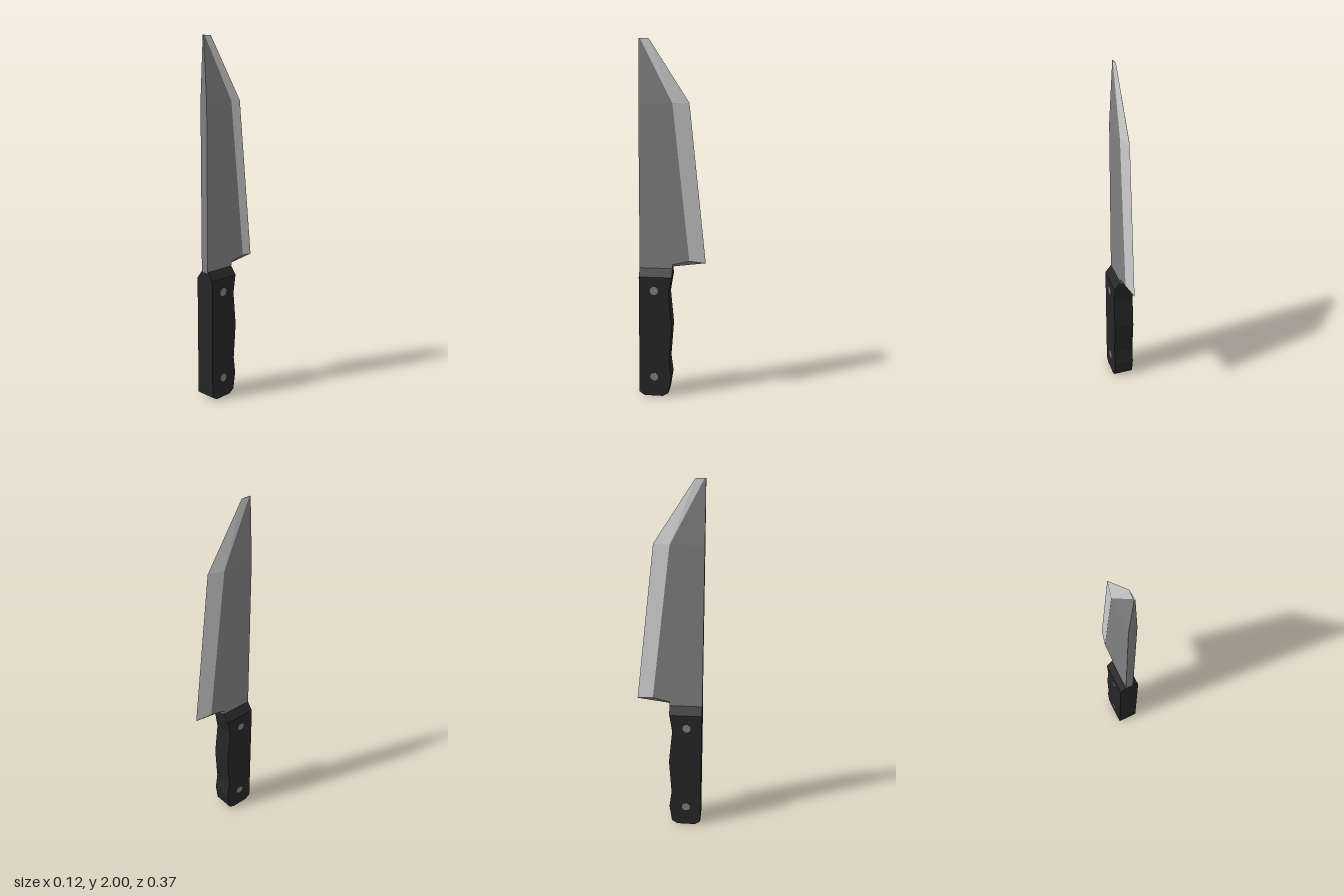
import * as THREE from 'three';

const material = (name, color) => {
  const m = new THREE.MeshStandardMaterial({ color });
  m.name = name;
  return m;
};

// Builds flat faces from the +x half and mirrors them across x = 0
function mirroredFaces(polygons) {
  const positions = [];
  for (const side of [1, -1]) {
    for (const polygon of polygons) {
      for (let i = 1; i < polygon.length - 1; i++) {
        const tri = [polygon[0], polygon[i], polygon[i + 1]];
        if (side < 0) tri.reverse();
        for (const [x, y, z] of tri) positions.push(side * x, y, z);
      }
    }
  }
  const geometry = new THREE.BufferGeometry();
  geometry.setAttribute('position', new THREE.Float32BufferAttribute(positions, 3));
  geometry.computeVertexNormals();
  return geometry;
}

const extrude = (points, depth) => new THREE.ExtrudeGeometry(
  new THREE.Shape(points.map(([x, y]) => new THREE.Vector2(x, y))),
  { depth, bevelEnabled: false },
);

export function createModel() {
  const group = new THREE.Group();
  const steel = material('steel', 0x808080);
  const edgeSteel = material('sharpenedSteel', 0xcccccc);
  const black = material('handleBlack', 0x262626);

  const add = (name, geometry, mat) => {
    const mesh = new THREE.Mesh(geometry, mat);
    mesh.name = name;
    group.add(mesh);
    return mesh;
  };

  // Blade corners on the +x half: spine, shoulder of the bevel, cutting edge
  const w = 0.023, t = 0.003;
  const spineLow = [w, 0.74, 0.185], spineMid = [w, 1.66, 0.185], spineTip = [t, 2, 0.185];
  const backLow = [0, 0.74, 0.185], backMid = [0, 1.66, 0.185], backTip = [0, 2, 0.185];
  const neck = [w, 0.74, 0], neckTop = [w, 0.768, 0];
  const neckCentre = [0, 0.74, 0], neckCentreTop = [0, 0.752, 0];
  const heel = [w, 0.79, -0.095], shoulder = [w, 1.66, 0], shoulderTip = [t, 2, 0.177];
  const edgeHeel = [0, 0.776, -0.185], edgeMid = [0, 1.66, -0.09], edgeTip = [0, 2, 0.13];

  add('blade', mirroredFaces([
    [spineLow, neck, neckTop, heel, shoulder, spineMid],
    [spineMid, shoulder, shoulderTip, spineTip],
    [backLow, spineLow, spineMid, backMid],
    [backMid, spineMid, spineTip, backTip],
    [neckCentreTop, edgeHeel, heel, neckTop],
    [neck, neckCentre, neckCentreTop, neckTop],
  ]), steel);

  add('cuttingEdge', mirroredFaces([
    [heel, edgeHeel, edgeMid, shoulder],
    [shoulder, edgeMid, edgeTip, shoulderTip],
    [backTip, spineTip, shoulderTip, edgeTip],
  ]), edgeSteel);

  // Handle with finger grooves, profile in (z, y)
  const h = 0.0575;
  const grip = extrude([
    [0.185, 0.7], [0.185, 0.02], [0.155, 0.0], [0.05, 0.0], [0.018, 0.02],
    [0.003, 0.115], [0.015, 0.21], [0.0, 0.41], [0.018, 0.6], [0.002, 0.7],
  ], 2 * h);
  grip.translate(0, 0, -h).rotateY(-Math.PI / 2);
  add('handle', grip, black);

  // Chamfered collar where the handle meets the blade
  add('collar', extrude([[-h, 0.7], [h, 0.7], [w, 0.745], [-w, 0.745]], 0.185), black);

  // Rivets running through the handle
  for (const y of [0.115, 0.622]) {
    const rivet = new THREE.CylinderGeometry(0.024, 0.024, 2 * h + 0.002, 10).rotateZ(Math.PI / 2);
    add('rivet', rivet, steel).position.set(0, y, 0.1);
  }

  return group;
}
